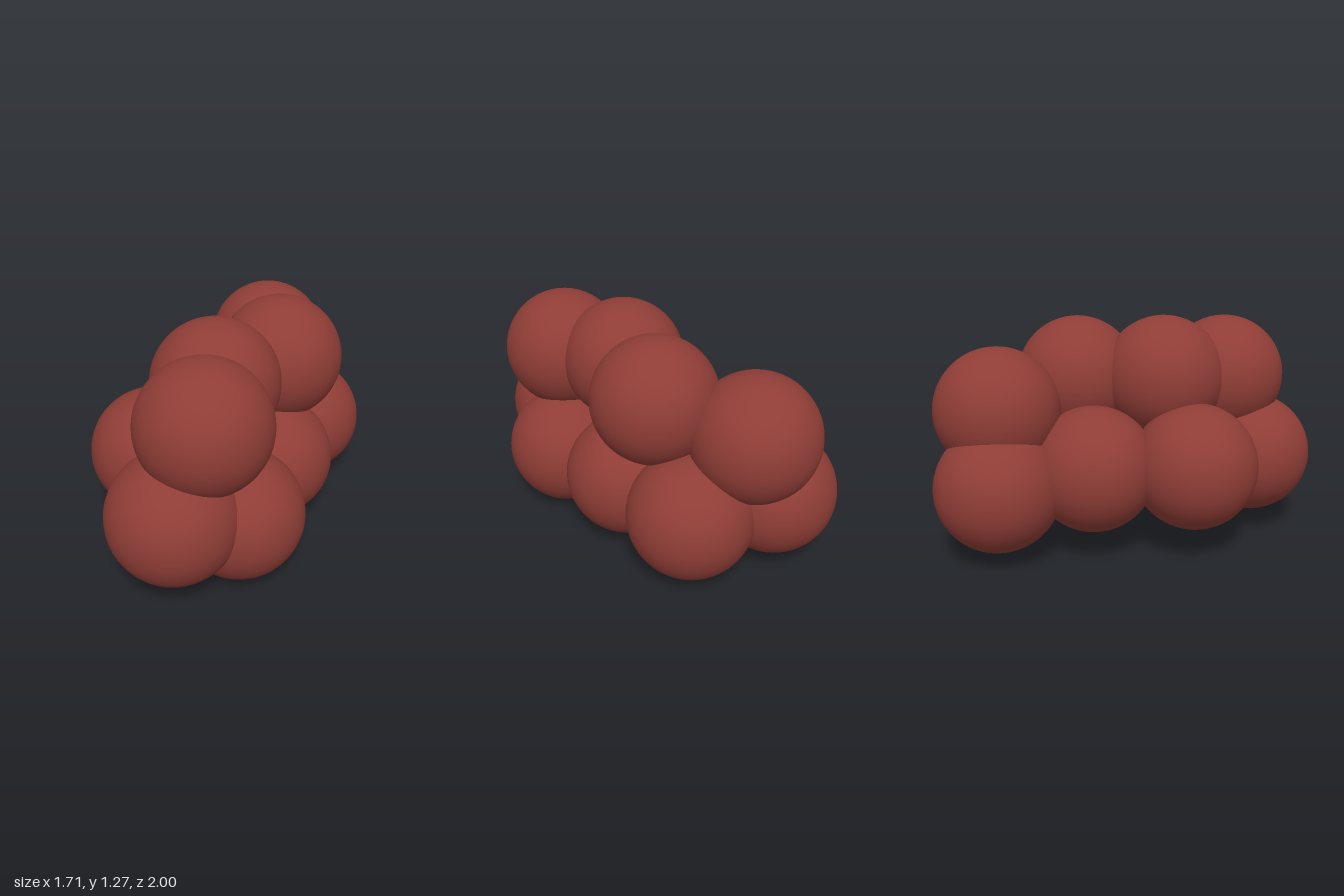
import * as THREE from 'three';

// A cluster of eleven equal overlapping balls in two layers
export function createModel() {
  const model = new THREE.Group();
  model.name = 'ballCluster';
  const material = new THREE.MeshStandardMaterial({ color: 0x8f3d36 });
  const ball = new THREE.SphereGeometry(0.345, 64, 40);

  const layers = {
    // upper row, front to back
    upperBall: [
      [-0.335, 0.905, 0.605],
      [-0.17, 0.93, 0.225],
      [0.27, 0.915, -0.01],
      [0.385, 0.795, -0.54],
    ],
    // lower row on the left side
    lowerLeftBall: [
      [-0.15, 0.345, 0.58],
      [0.17, 0.38, 0.16],
      [0.51, 0.375, -0.23],
    ],
    // lower row on the right side
    lowerRightBall: [
      [-0.51, 0.45, 0.65],
      [-0.485, 0.495, 0.085],
      [-0.055, 0.48, -0.255],
      [0.275, 0.405, -0.655],
    ],
  };

  for (const [name, centres] of Object.entries(layers)) {
    centres.forEach((centre, i) => {
      const mesh = new THREE.Mesh(ball, material);
      mesh.name = `${name}${i + 1}`;
      mesh.position.set(...centre);
      model.add(mesh);
    });
  }
  return model;
}
